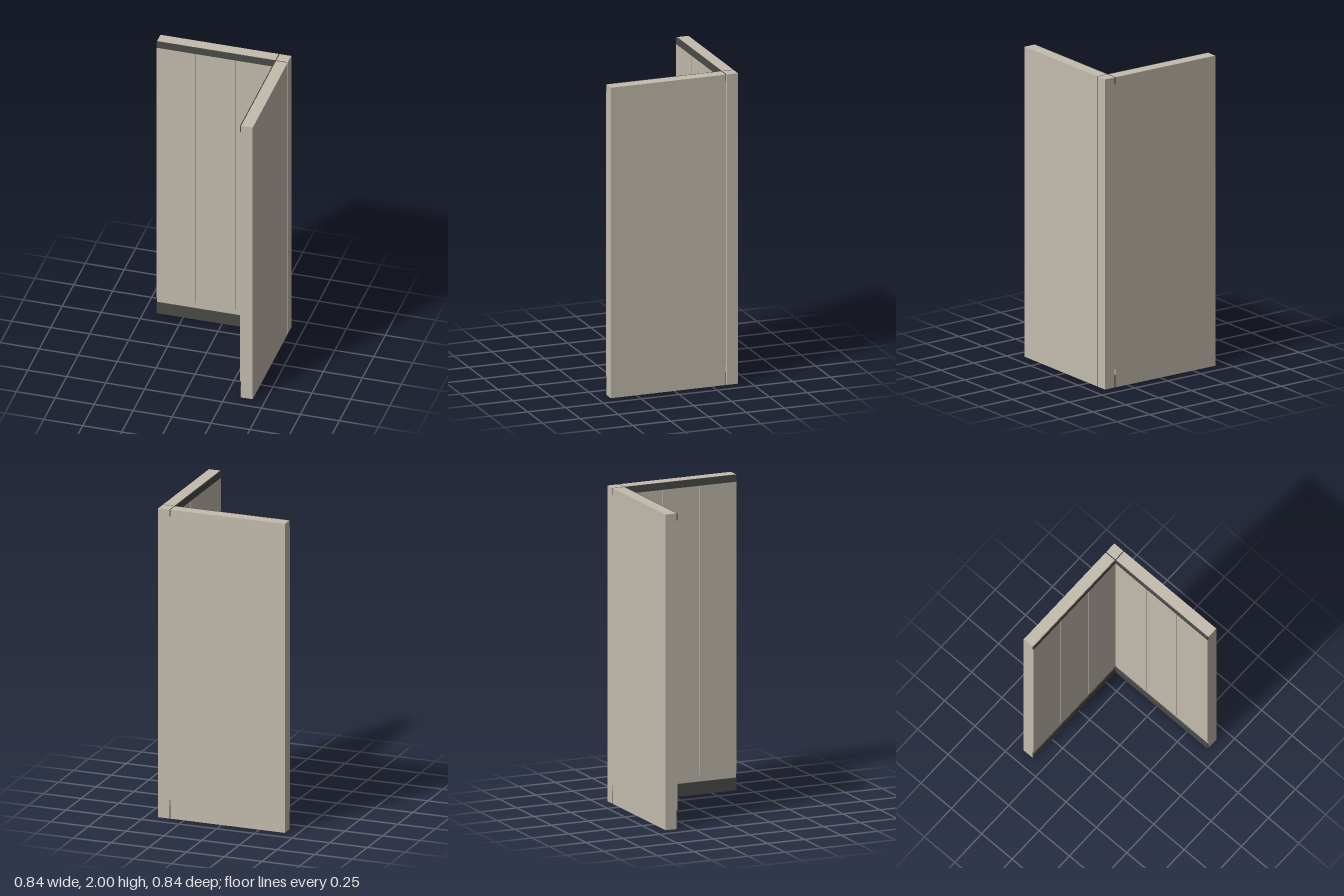
import * as THREE from 'three';

const H = 2, OUT = 0.42, IN0 = 0.339, IN1 = 0.346, GROOVE = 0.005;

export function createModel() {
  const group = new THREE.Group();
  const plaster = new THREE.MeshStandardMaterial({ color: 0xc4bcae });
  plaster.name = 'warm plaster';
  const trim = new THREE.MeshStandardMaterial({ color: 0x4a4a47 });
  trim.name = 'dark trim';

  // Box given by its min and max on every axis
  function box(name, material, [x0, x1], [y0, y1], [z0, z1]) {
    const mesh = new THREE.Mesh(new THREE.BoxGeometry(x1 - x0, y1 - y0, z1 - z0), material);
    mesh.position.set((x0 + x1) / 2, (y0 + y1) / 2, (z0 + z1) / 2);
    mesh.name = name;
    group.add(mesh);
  }

  // Wall cores and the corner post, separated by thin slots
  const full = [0, H];
  box('backWall', plaster, [-OUT, IN0], full, [-OUT, -IN1]);
  box('sideWall', plaster, [IN1, OUT], full, [-IN0, OUT]);
  box('cornerPost', plaster, [IN1, OUT], full, [-OUT, -IN1]);

  // Facing layers: skirting, panels and cornice; a shadow gap stays above the skirting
  const rows = [
    ['Skirting', trim, [0, 0.08]],
    ['Panel', plaster, [0.12, 1.955]],
    ['Cornice', trim, [1.955, H]],
  ];
  const third = (OUT + IN0) / 3;
  for (const [name, material, y] of rows) {
    const pieces = name === 'Panel' ? 3 : 1;
    const width = (third * 3) / pieces;
    for (let i = 0; i < pieces; i++) {
      const a = -OUT + i * width + (i ? GROOVE / 2 : 0);
      const b = -OUT + (i + 1) * width - (i < pieces - 1 ? GROOVE / 2 : 0);
      box('back' + name, material, [a, b], y, [-IN1, -IN0]);
      box('side' + name, material, [IN0, IN1], y, [-b, -a]);
    }
    // Layer ends that run through the corner
    box('back' + name + 'End', material, [IN1, 0.41], y, [-IN1, -IN0]);
    box('side' + name + 'End', material, [IN0, IN1], y, [-OUT, -IN0]);
  }
  return group;
}
